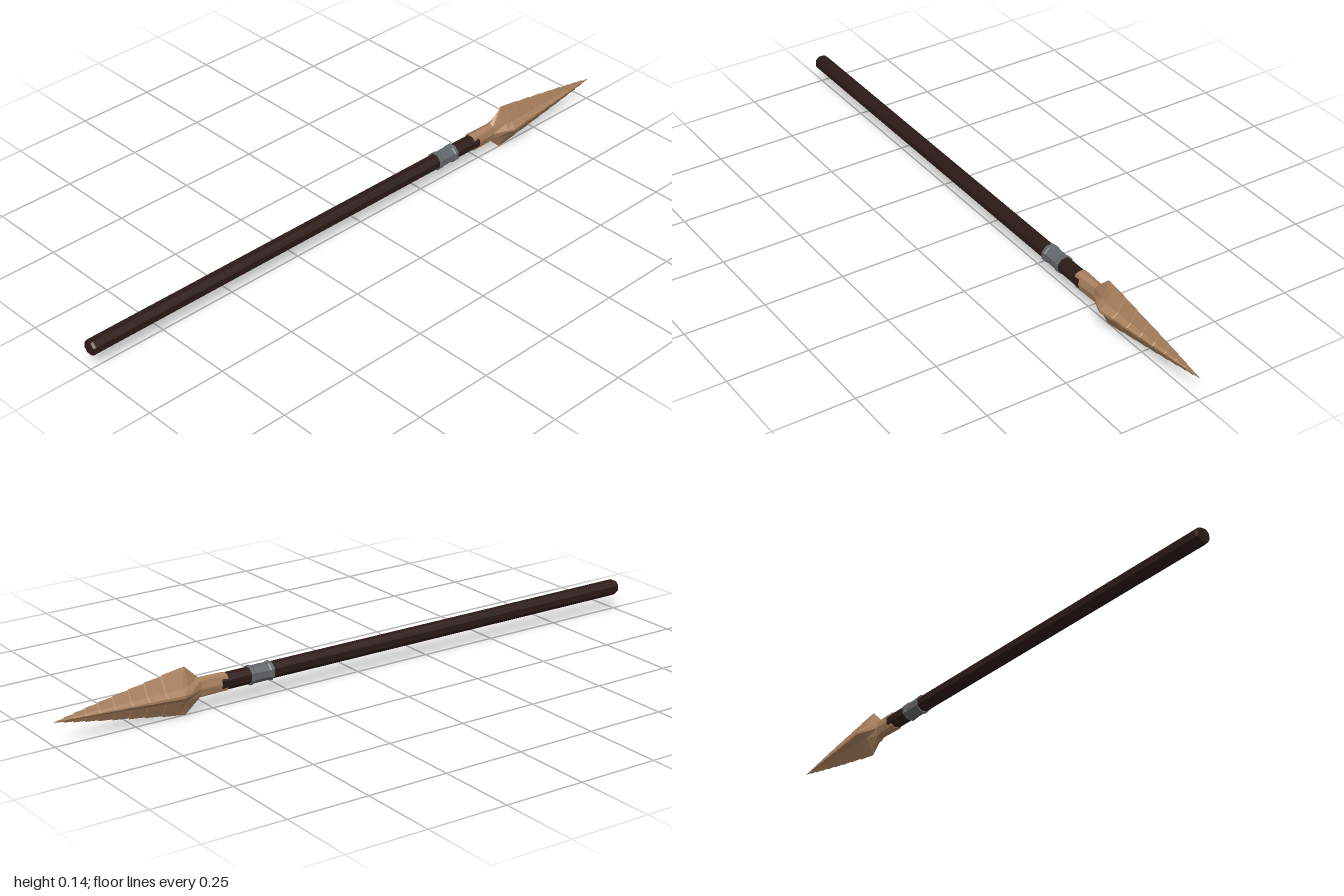
import * as THREE from 'three';

const AXIS_Y = 0.074;
const material = (color) => new THREE.MeshStandardMaterial({ color, flatShading: true });

// Eight-sided turned part lying along x; profile is [radius, x]
function turned(name, profile, color) {
  const points = profile.map(([r, x]) => new THREE.Vector2(r, x));
  const geometry = new THREE.LatheGeometry(points, 8, Math.PI / 8);
  geometry.rotateZ(-Math.PI / 2);
  const mesh = new THREE.Mesh(geometry, material(color));
  mesh.name = name;
  return mesh;
}

// Ring of the head: h = half height, w = half depth, (my, mz) = corner between
function section({ x, h, w, my, mz }) {
  const e = w * 0.09; // narrow flat along the side ridge
  const quarter = [[h, 0], [my, mz], [e, w]];
  const half = [...quarter, ...quarter.slice(1).reverse().map(([y, z]) => [-y, z])];
  const ring = [...half, [-h, 0], ...half.slice(1).reverse().map(([y, z]) => [y, -z])];
  return ring.map(([y, z]) => [x, y, z]);
}

function loft(rings) {
  const n = rings[0].length;
  const position = rings.flat(2);
  const index = [];
  for (let r = 0; r < rings.length - 1; r++) {
    for (let i = 0; i < n; i++) {
      const a = r * n + i, b = r * n + (i + 1) % n;
      index.push(a, b, a + n, b, b + n, a + n);
    }
  }
  const last = (rings.length - 1) * n;
  for (let i = 1; i < n - 1; i++) {
    index.push(0, i + 1, i, last, last + i, last + i + 1);
  }
  const geometry = new THREE.BufferGeometry();
  geometry.setAttribute('position', new THREE.Float32BufferAttribute(position, 3));
  geometry.setIndex(index);
  const flat = geometry.toNonIndexed();
  flat.computeVertexNormals();
  return flat;
}

function spearHead() {
  // Socket, pinched neck and flare
  const specs = [
    { x: 0.46, h: 0.027, w: 0.023, my: 0.022, mz: 0.017 },
    { x: 0.548, h: 0.031, w: 0.018, my: 0.023, mz: 0.013 },
    { x: 0.592, h: 0.072, w: 0.038, my: 0.021, mz: 0.024 },
    { x: 0.615, h: 0.069, w: 0.046, my: 0.019, mz: 0.027 },
  ];
  // Chipped blade: every flake ends in a small step
  const steps = [0.665, 0.72, 0.77, 0.82, 0.865, 0.905, 0.94, 0.97];
  const scaled = (x, s) => ({ x, h: 0.069 * s, w: 0.046 * s ** 1.15, my: 0.019 * s, mz: 0.027 * s ** 1.15 });
  for (const x of steps) {
    const s = ((1 - x) / 0.385) ** 0.9;
    specs.push(scaled(x, s + 0.012), scaled(x + 0.002, s - 0.03));
  }
  specs.push(scaled(1, 0.015));
  const mesh = new THREE.Mesh(loft(specs.map(section)), material(0xa87f5c));
  mesh.name = 'spearHead';
  return mesh;
}

export function createModel() {
  const spear = new THREE.Group();
  spear.name = 'spear';

  // Wooden shaft with bevelled butt
  spear.add(turned('shaft', [[0, -1], [0.021, -1], [0.025, -0.992], [0.025, 0.48], [0, 0.48]], 0x2b1a17));

  // Metal collar with raised rims
  spear.add(turned('collar', [
    [0.024, 0.308], [0.029, 0.308], [0.029, 0.318], [0.0265, 0.322],
    [0.0265, 0.37], [0.029, 0.374], [0.029, 0.384], [0.024, 0.384],
  ], 0x62676a));

  spear.add(spearHead());
  spear.children.forEach((part) => { part.position.y = AXIS_Y; });
  return spear;
}
